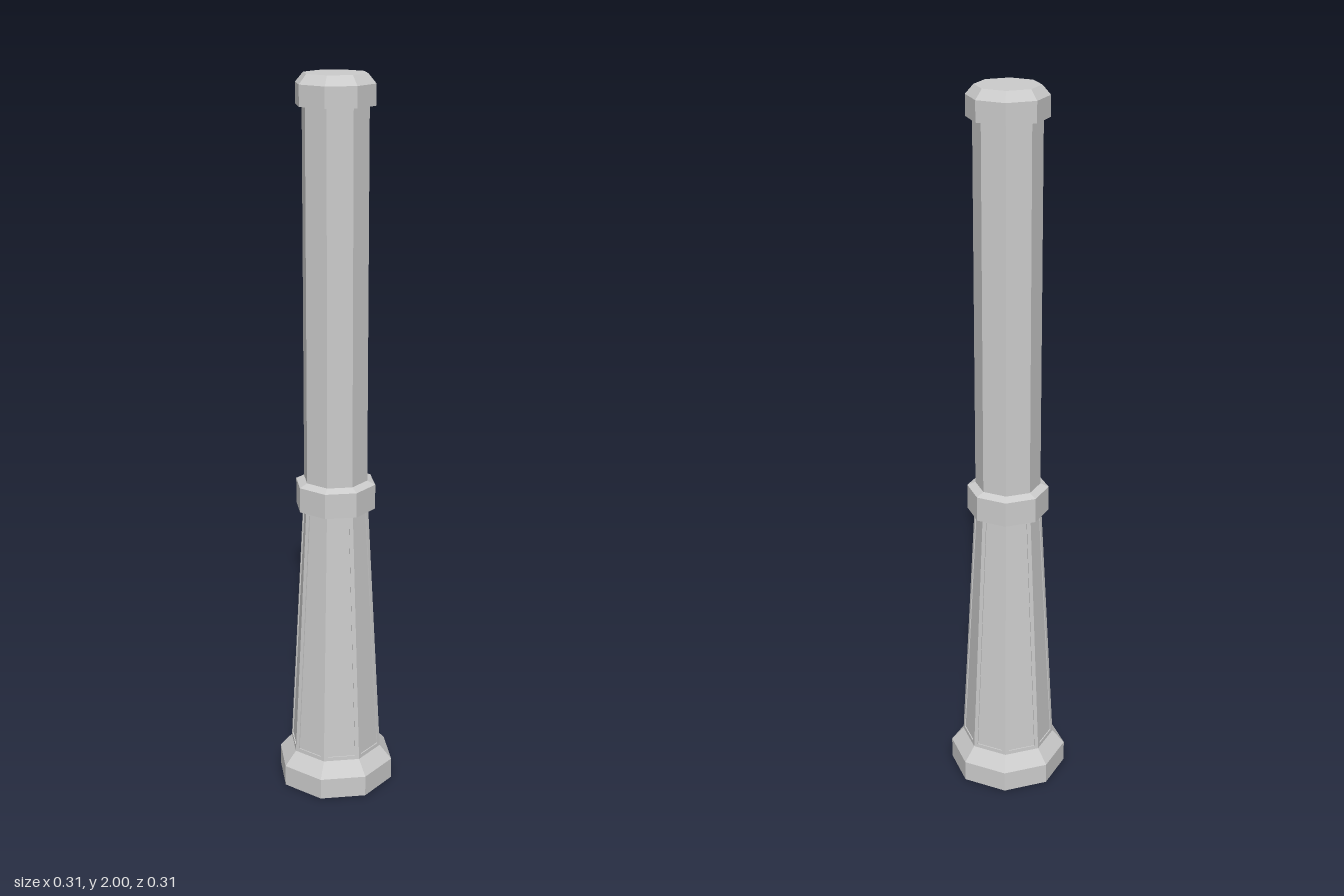
import * as THREE from 'three';

const SIDES = 8;
const TAN = Math.tan(Math.PI / SIDES);
const material = new THREE.MeshStandardMaterial({ color: 0xcccccc, flatShading: true, side: THREE.DoubleSide });

// Octagonal turned part from [distance to flat, height] points, flats facing the axes
function octagon(name, profile) {
  const points = profile.map(([a, y]) => new THREE.Vector2(a / Math.cos(Math.PI / SIDES), y));
  const mesh = new THREE.Mesh(new THREE.LatheGeometry(points, SIDES, Math.PI / SIDES), material);
  mesh.name = name;
  return mesh;
}

// One tapered face with a shallow sunken panel, facing +z
function panelFace(bottom, top, margin, depth) {
  const slope = (top.a - bottom.a) / (top.y - bottom.y);
  const ring = (gap, sink) => {
    const corner = (y, s) => {
      const a = bottom.a + (y - bottom.y) * slope;
      return [s * (a * TAN - gap), y, a - sink];
    };
    const y0 = bottom.y + gap, y1 = top.y - gap;
    return [corner(y0, -1), corner(y0, 1), corner(y1, 1), corner(y1, -1)];
  };
  const rings = [ring(0, 0), ring(margin, 0), ring(margin, depth)];
  const index = [];
  for (let r = 0; r < 2; r++) {
    for (let i = 0; i < 4; i++) {
      const a = r * 4 + i, b = r * 4 + (i + 1) % 4;
      index.push(a, b, b + 4, a, b + 4, a + 4);
    }
  }
  index.push(8, 9, 10, 8, 10, 11);
  const geometry = new THREE.BufferGeometry();
  geometry.setAttribute('position', new THREE.Float32BufferAttribute(rings.flat(2), 3));
  geometry.setIndex(index);
  geometry.computeVertexNormals();
  return geometry;
}

export function createModel() {
  const post = new THREE.Group();
  post.name = 'post';

  // Hollow foot with a chamfered top
  post.add(octagon('foot', [[0.154, 0], [0.154, 0.06], [0.122, 0.1]]));

  // Tapered lower shaft with a panel on every face
  const lower = new THREE.Group();
  lower.name = 'lowerShaft';
  const face = panelFace({ a: 0.122, y: 0.1 }, { a: 0.086, y: 0.83 }, 0.011, 0.003);
  for (let i = 0; i < SIDES; i++) {
    const mesh = new THREE.Mesh(face, material);
    mesh.name = 'panelFace';
    mesh.rotation.y = (i * Math.PI * 2) / SIDES;
    lower.add(mesh);
  }
  post.add(lower);

  // Collar, straight upper shaft and chamfered cap
  post.add(octagon('collar', [[0.086, 0.83], [0.104, 0.83], [0.104, 0.9], [0.083, 0.91]]));
  post.add(octagon('upperShaft', [[0.083, 0.91], [0.083, 1.92]]));
  post.add(octagon('cap', [[0.083, 1.92], [0.099, 1.92], [0.099, 1.975], [0.079, 2], [0, 2]]));

  return post;
}
